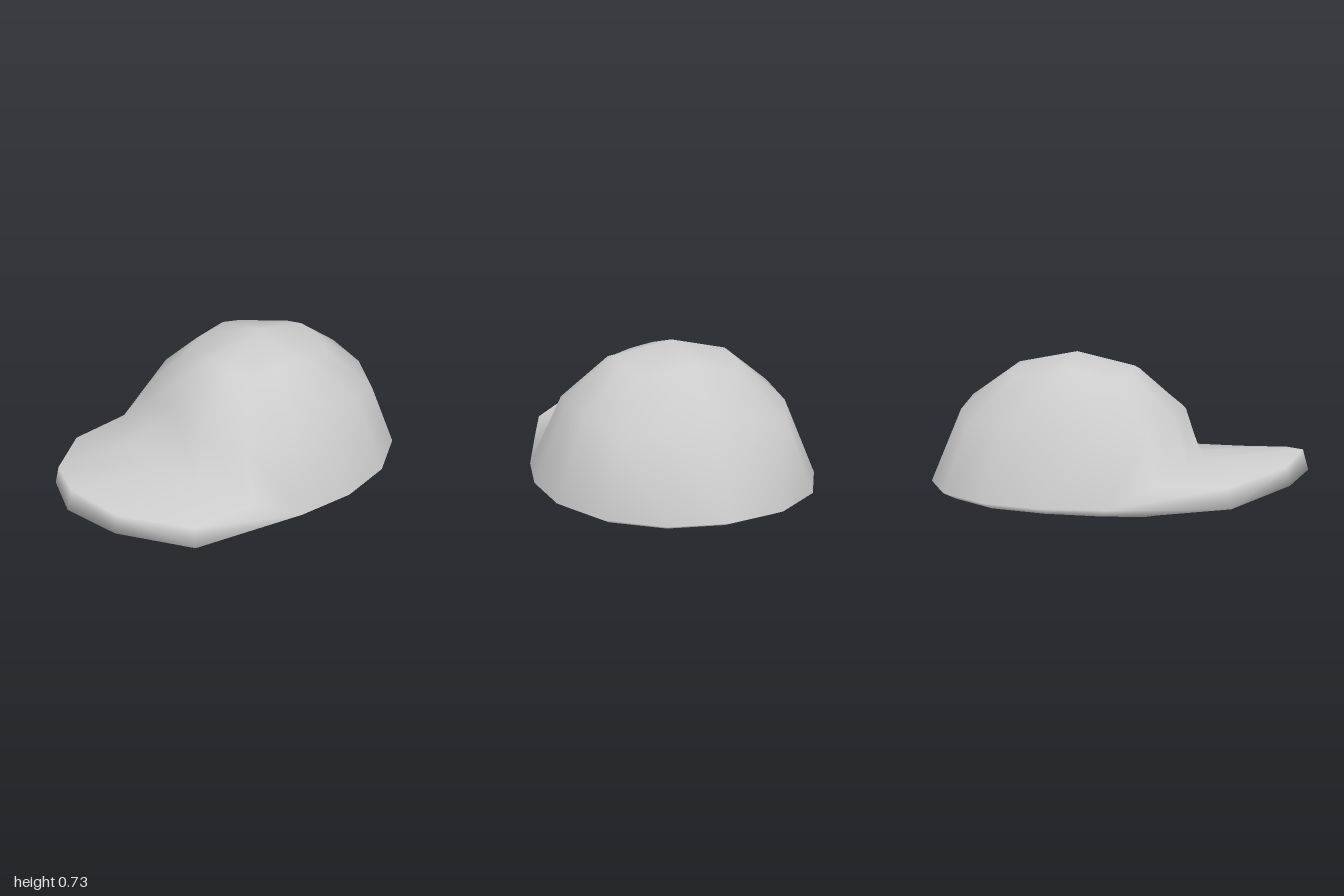
import * as THREE from 'three';
import { mergeVertices } from 'three/addons/utils/BufferGeometryUtils.js';

const SEGMENTS = 16;
const CENTRE_Z = -0.22;

// Oval ring: side, front and back radius, height, front dip,
// then how far the four diagonals bulge out and drop
const ring = (side, front, back, y, dip = 0, bulge = 0.025, drop = 0) => (a) => {
  const diagonal = Math.sin(2 * a) ** 2;
  const r = 1 + bulge * diagonal;
  return [
    side * r * Math.sin(a),
    y - dip * Math.max(0, Math.cos(a)) - drop * diagonal,
    CENTRE_Z + (Math.cos(a) > 0 ? front : back) * r * Math.cos(a),
  ];
};

// A ring whose front columns follow given points, from the centre outwards
const frontRow = (points, rest) => (a, column) => {
  const k = Math.min(column, SEGMENTS - column);
  if (k >= points.length) return rest(a);
  const [x, y, z] = points[k];
  return [column > SEGMENTS / 2 ? -x : x, y, z];
};

// Brim rows all meet on the base ring at the temples and behind
const base = ring(0.715, 0.72, 0.78, 0.05);
const brimRow = (points) => frontRow([...points, [0.68, 0.05, 0.08]], base);

const rows = [
  // crown, from the top down
  ring(0, 0, 0, 0.725),
  ring(0.29, 0.31, 0.32, 0.665, 0.01, 0.2, 0.055),
  ring(0.53, 0.57, 0.59, 0.48, 0.03, 0.12, 0.1),
  // brim: top at the crown, upper edge, lower edge, underside at the crown
  brimRow([[0, 0.17, 0.46], [0.27, 0.16, 0.41], [0.56, 0.14, 0.29]]),
  brimRow([[0, 0.24, 0.97], [0.26, 0.2, 0.89], [0.52, 0.145, 0.63]]),
  brimRow([[0, 0.135, 1], [0.27, 0.11, 0.91], [0.54, 0.05, 0.645]]),
  brimRow([[0, 0.035, 0.49], [0.28, 0.028, 0.44], [0.58, 0.012, 0.3]]),
  // rim
  frontRow([[0, 0.012, 0.44], [0.27, 0.008, 0.4], [0.57, 0, 0.25], [0.64, 0.01, 0.06]],
    ring(0.66, 0.66, 0.71, 0.014)),
  frontRow([[0, 0.125, 0.4], [0.25, 0.115, 0.35], [0.53, 0.1, 0.24], [0.6, 0.1, 0.03]],
    ring(0.62, 0.62, 0.68, 0.1)),
  // lining, from the rim up
  ring(0.44, 0.48, 0.5, 0.41, 0.025, 0.12, 0.085),
  ring(0.25, 0.26, 0.27, 0.565, 0.01, 0.2, 0.045),
  ring(0, 0, 0, 0.615),
];

// One continuous skin, so the shading flows from part to part
function skin() {
  const positions = [];
  const index = [];
  rows.forEach((row, i) => {
    for (let j = 0; j < SEGMENTS; j++) {
      positions.push(...row((j / SEGMENTS) * Math.PI * 2, j));
      if (i === rows.length - 1) continue;
      const next = (j + 1) % SEGMENTS;
      const a = i * SEGMENTS + j, d = i * SEGMENTS + next;
      const b = a + SEGMENTS, c = d + SEGMENTS;
      // mirrored diagonals keep both sides alike
      if (j < SEGMENTS / 2) index.push(a, b, c, a, c, d);
      else index.push(a, b, d, b, c, d);
    }
  });
  const geometry = new THREE.BufferGeometry();
  geometry.setAttribute('position', new THREE.Float32BufferAttribute(positions, 3));
  geometry.setIndex(index);
  const merged = mergeVertices(geometry, 1e-4);
  merged.computeVertexNormals();
  return merged;
}

export function createModel() {
  const group = new THREE.Group();
  group.name = 'cap';
  const material = new THREE.MeshStandardMaterial({ color: 0xcccccc });
  const whole = skin();
  const all = Array.from(whole.index.array);

  // Cut a band of rows out of the skin, dropping collapsed triangles
  const addPart = (name, from, to) => {
    const index = [];
    for (let t = from * SEGMENTS * 6; t < to * SEGMENTS * 6; t += 3) {
      const [a, b, c] = all.slice(t, t + 3);
      if (a !== b && b !== c && c !== a) index.push(a, b, c);
    }
    const geometry = whole.clone();
    geometry.setIndex(index);
    const mesh = new THREE.Mesh(geometry, material);
    mesh.name = name;
    group.add(mesh);
  };

  addPart('crown', 0, 3);
  addPart('brim', 3, 6);
  addPart('rim', 6, 8);
  addPart('lining', 8, 11);
  return group;
}
